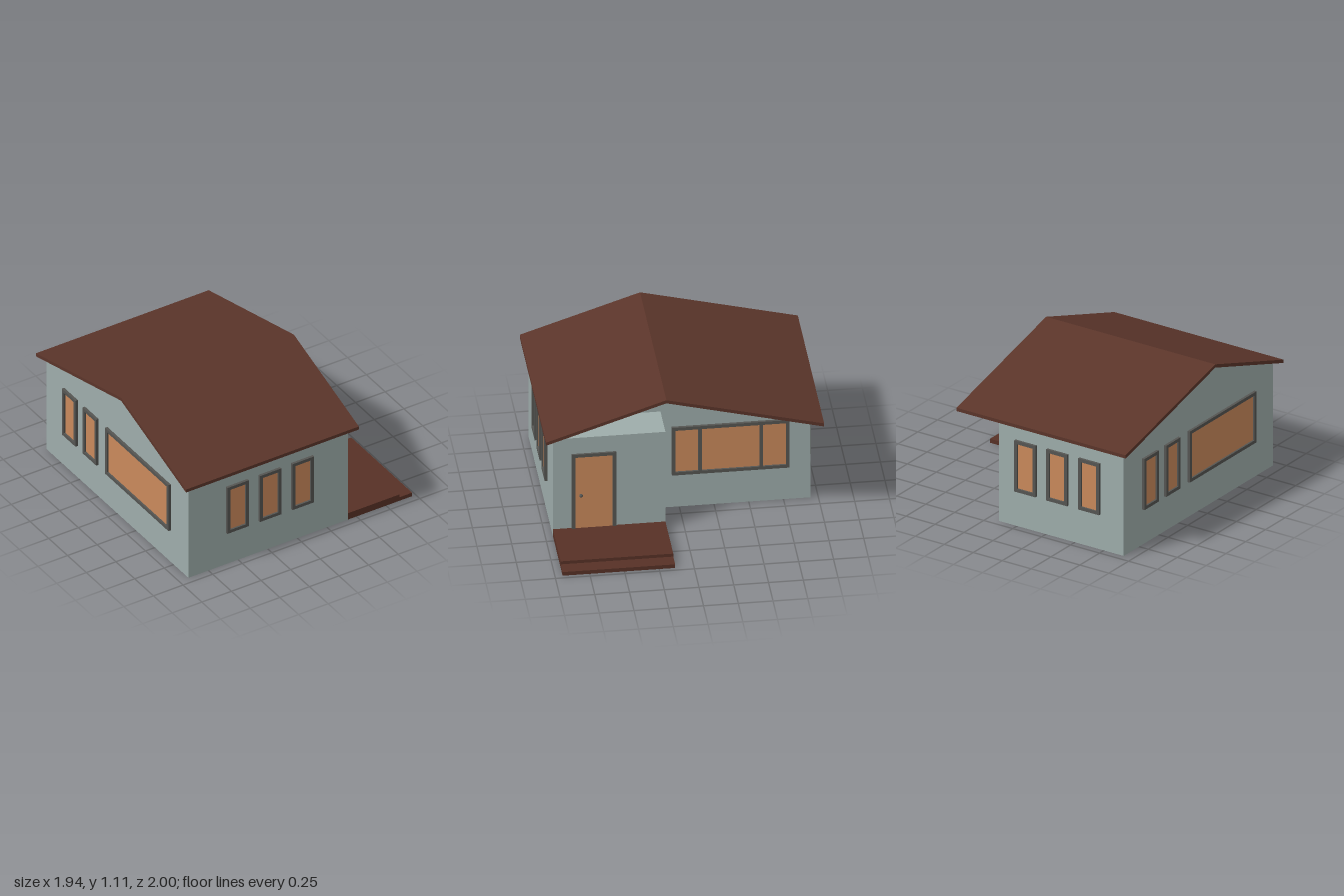
import * as THREE from 'three';

const paint = (color) => new THREE.MeshStandardMaterial({ color, flatShading: true });
const WALL = paint(0x9eadab);
const TRIM = paint(0x555552);
const PANE = paint(0xca895b);
const ROOF = paint(0x5b352a);
const DECK = paint(0x573126);

// Box given by its min and max corners
function box(name, material, [x0, y0, z0], [x1, y1, z1]) {
  const mesh = new THREE.Mesh(new THREE.BoxGeometry(x1 - x0, y1 - y0, z1 - z0), material);
  mesh.position.set((x0 + x1) / 2, (y0 + y1) / 2, (z0 + z1) / 2);
  mesh.name = name;
  return mesh;
}

// Profile of [z, y] points, extruded along x from x0 to x1
function profileAlongX(name, material, points, x0, x1) {
  const shape = new THREE.Shape(points.map(([z, y]) => new THREE.Vector2(z, y)));
  const geometry = new THREE.ExtrudeGeometry(shape, { depth: x1 - x0, bevelEnabled: false });
  geometry.rotateY(-Math.PI / 2).translate(x1, 0, 0);
  const mesh = new THREE.Mesh(geometry, material);
  mesh.name = name;
  return mesh;
}

// Framed panel in the local xy plane, facing +z, standing on y = 0
function framedPanel(name, width, height, { depth = 0.02, sill = true, mullions = [] } = {}) {
  const group = new THREE.Group();
  const w = width / 2, t = 0.025;
  group.name = name;
  group.add(
    box('pane', PANE, [-w + t, sill ? t : 0, -0.004], [w - t, height - t, 0.006]),
    box('frameSide', TRIM, [-w, 0, 0], [-w + t, height, depth]),
    box('frameSide', TRIM, [w - t, 0, 0], [w, height, depth]),
    box('frameTop', TRIM, [-w + t, height - t, 0], [w - t, height, depth]),
  );
  if (sill) group.add(box('frameSill', TRIM, [-w + t, 0, 0], [w - t, t, depth]));
  for (const x of mullions) {
    group.add(box('mullion', TRIM, [x - t / 2, t, 0], [x + t / 2, height - t, depth]));
  }
  return group;
}

function place(object, x, y, z, turn = 0) {
  object.position.set(x, y, z);
  object.rotation.y = turn;
  return object;
}

export function createModel() {
  const house = new THREE.Group();
  house.name = 'house';
  const left = -0.92, recess = 0.155, right = 0.43, end = 0.945, ridge = 0.135;

  // Gabled main body and flat-topped entrance room
  house.add(
    profileAlongX('mainWalls', WALL,
      [[-end, 0], [end, 0], [end, 0.812], [ridge, 1.086], [-end, 0.81]], left, recess),
    box('entranceRoom', WALL, [recess, 0, ridge], [right, 0.81, end]),
  );

  // Thin roof with unequal slopes
  house.add(profileAlongX('roof', ROOF,
    [[1, 0.797], [1, 0.823], [ridge, 1.11], [-1, 0.823], [-1, 0.797], [ridge, 1.084]],
    -0.975, 0.485));

  // Windows
  const sillY = 0.275, height = 0.4, small = 0.182, large = 0.845;
  for (const x of [-0.513, -0.238, 0.038]) {
    house.add(place(framedPanel('frontWindow', small, height), x, sillY, end));
  }
  for (const x of [-0.63, -0.355, -0.08]) {
    house.add(place(framedPanel('backWindow', small, height), x, sillY, -end, Math.PI));
  }
  for (const z of [-0.618, -0.342]) {
    house.add(place(framedPanel('sideWindow', small, height), left, sillY, z, -Math.PI / 2));
  }
  house.add(
    place(framedPanel('largeSideWindow', large, height), left, sillY, 0.288, -Math.PI / 2),
    place(framedPanel('livingRoomWindow', large, height, { mullions: [-0.22, 0.22] }),
      recess, sillY, -0.368, Math.PI / 2),
  );

  // Entrance door with knob
  const door = framedPanel('door', 0.32, 0.622, { depth: 0.015, sill: false });
  const stem = new THREE.Mesh(new THREE.CylinderGeometry(0.006, 0.006, 0.022, 12), TRIM);
  stem.name = 'knobStem';
  stem.rotation.x = Math.PI / 2;
  stem.position.set(-0.095, 0.28, 0.012);
  const knob = new THREE.Mesh(new THREE.SphereGeometry(0.013, 16, 12),
    new THREE.MeshStandardMaterial({ color: 0x555552 }));
  knob.name = 'knob';
  knob.position.set(-0.095, 0.28, 0.024);
  door.add(stem, knob);
  house.add(place(door, right, 0.055, 0.65, Math.PI / 2));

  // Porch platform and lower step
  house.add(
    box('porch', DECK, [right, 0, ridge], [0.865, 0.055, end]),
    box('step', DECK, [0.865, 0, ridge], [0.97, 0.03, end]),
  );
  return house;
}
